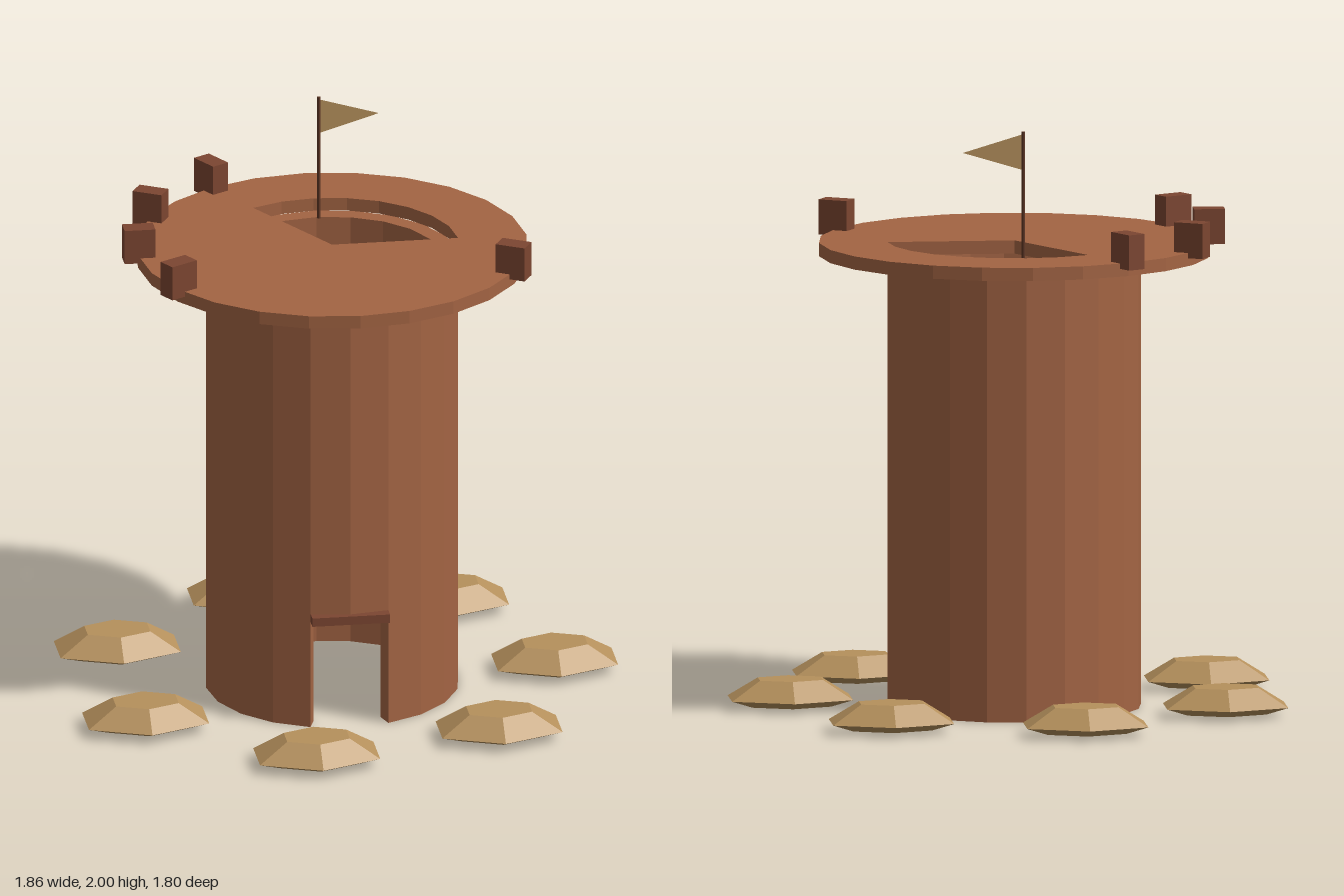
import * as THREE from 'three';

const CX = -0.04; // tower axis
const rad = THREE.MathUtils.degToRad;

const mat = (name, color) => {
  const m = new THREE.MeshStandardMaterial({ color, flatShading: true });
  m.name = name;
  return m;
};

// Points along a faceted arc, angles in degrees
function arc(r, from, to, segments) {
  return Array.from({ length: segments + 1 }, (_, i) => {
    const a = rad(from + ((to - from) * i) / segments);
    return new THREE.Vector2(r * Math.cos(a), r * Math.sin(a));
  });
}

// Extrude a plan shape upwards from y0 to y1 (shape y points to the back)
function slab(shape, y0, y1) {
  const g = new THREE.ExtrudeGeometry(shape, { depth: y1 - y0, bevelEnabled: false });
  g.rotateX(-Math.PI / 2);
  g.translate(CX, y0, 0);
  return g;
}

// Plan of a curved wall
function wallPlan(from, to, segments) {
  const outer = arc(0.43, from, to, segments);
  const inner = arc(0.37, from, to, segments).reverse();
  return new THREE.Shape([...outer, ...inner]);
}

export function createModel() {
  const group = new THREE.Group();
  const clay = mat('clay', 0xa36443);
  const darkClay = mat('darkClay', 0x7c4631);
  const wood = mat('darkWood', 0x5c3524);
  const sand = mat('sand', 0xb5905c);
  const cloth = mat('flagCloth', 0xb5905c);
  cloth.side = THREE.DoubleSide;

  const add = (name, geometry, material, x = 0, y = 0, z = 0) => {
    const mesh = new THREE.Mesh(geometry, material);
    mesh.name = name;
    mesh.position.set(x, y, z);
    group.add(mesh);
    return mesh;
  };

  // Hollow tower with a doorway in front
  add('towerWall', slab(wallPlan(-72, 252, 18), 0, 1.54), clay);
  add('wallOverDoor', slab(wallPlan(-108, -72, 2), 0.38, 1.54), clay);
  add('doorLintel', new THREE.BoxGeometry(0.265, 0.03, 0.06), darkClay, CX, 0.395, 0.42);

  // Roof platform with a wedge-shaped opening
  const plan = new THREE.Shape(arc(0.663, 0, 345, 23));
  plan.holes.push(new THREE.Path([new THREE.Vector2(0, 0), ...arc(0.43, 0, 120, 8)]));
  add('roofPlatform', slab(plan, 1.54, 1.585), clay);

  // Battlement blocks on the rim
  const block = new THREE.BoxGeometry(0.105, 0.12, 0.064);
  for (const deg of [120, 150, 180, 210, 330]) {
    const a = rad(deg);
    const m = add('battlement', block, darkClay, CX + 0.66 * Math.cos(a), 1.627, -0.66 * Math.sin(a));
    m.rotation.y = a;
  }

  // Flagpole and pennant
  add('flagPole', new THREE.CylinderGeometry(0.006, 0.006, 0.44, 6), wood, CX, 1.78, -0.31);
  const pennant = new THREE.Shape([
    new THREE.Vector2(0, -0.06), new THREE.Vector2(0.2, 0), new THREE.Vector2(0, 0.06),
  ]);
  add('flag', new THREE.ShapeGeometry(pennant), cloth, CX + 0.005, 1.93, -0.31);

  // Ring of flattened six-sided stones
  const profile = [[0, 0.01], [0.65, 0.01], [1, 0.035], [0.52, 0.1], [0, 0.1]]
    .map(([r, y]) => new THREE.Vector2(r, y));
  const stone = new THREE.LatheGeometry(profile, 6);
  stone.scale(0.237, 1, 0.16);
  const places = [
    [0.72, 0], [0.435, -0.6], [-0.21, -0.745], [-0.725, -0.33],
    [-0.725, 0.335], [-0.2, 0.74], [0.445, 0.585],
  ];
  for (const [x, z] of places) add('stone', stone, sand, x, 0, z);

  return group;
}
